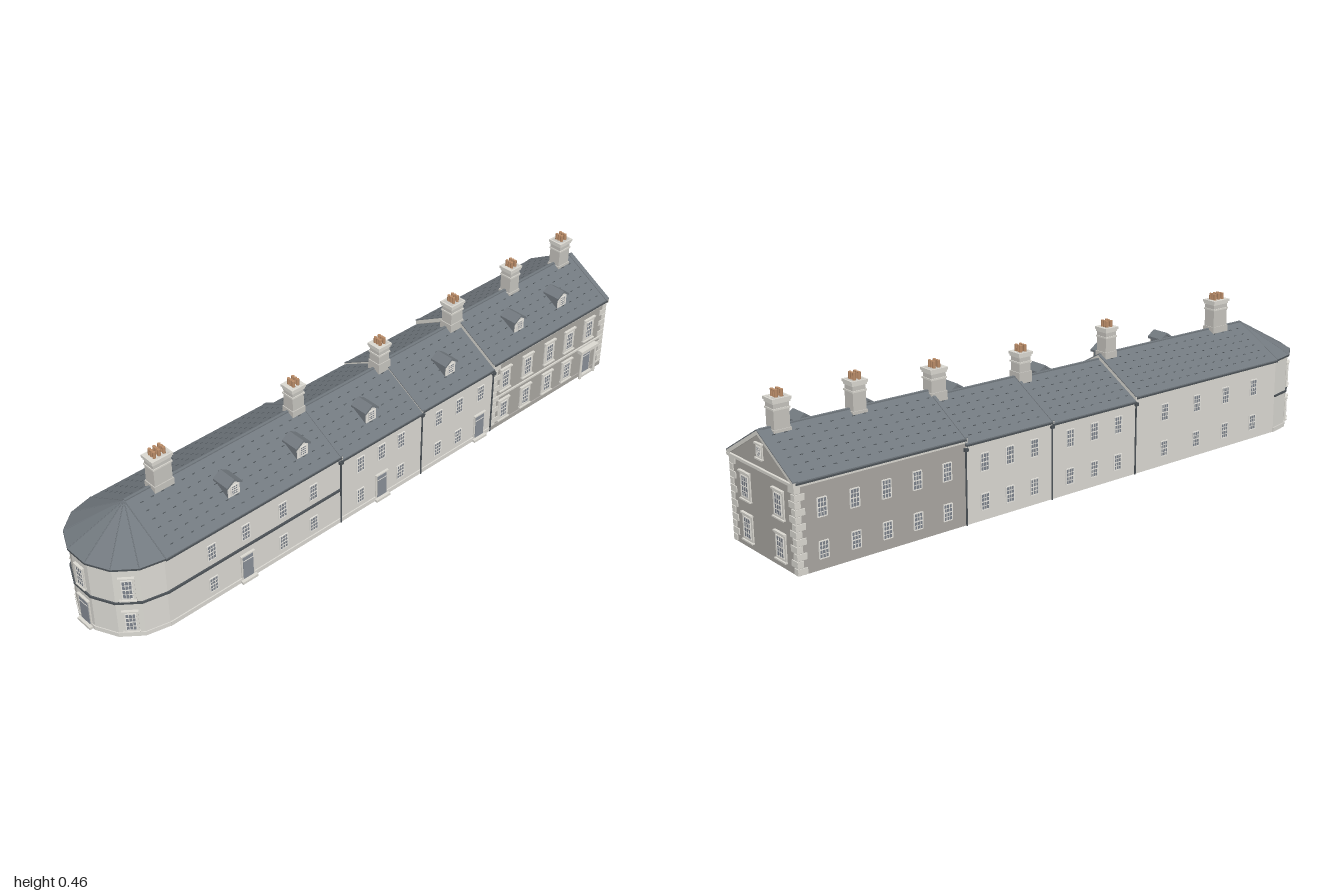
import * as THREE from 'three';
import { mergeGeometries } from 'three/addons/utils/BufferGeometryUtils.js';

const mat = (name, color, side = THREE.FrontSide) => {
  const m = new THREE.MeshStandardMaterial({ color, side });
  m.name = name;
  return m;
};
const M = {
  wall: mat('pale stone wall', 0xdad8d2, THREE.DoubleSide),
  wallDark: mat('grey stone wall', 0xa9a6a1, THREE.DoubleSide),
  trim: mat('light stone trim', 0xdad8d1),
  stack: mat('chimney stone', 0xc6c4be),
  slate: mat('roof slate', 0x72797f),
  dark: mat('dark slate', 0x4d5358),
  paint: mat('white paint', 0xe8e6e0),
  glass: mat('window glass', 0x7d838c),
  door: mat('door paint', 0x888e97),
  pot: mat('terracotta', 0xba8c68),
};
const HW = 0.163, EAVE = 0.171, BOW = 0.825, BACK = -0.988, FACETS = 7;

const group = (name, parent) => {
  const g = new THREE.Group();
  g.name = name;
  parent.add(g);
  return g;
};
const mesh = (name, parent, geo, material) => {
  const m = new THREE.Mesh(geo, material);
  m.name = name;
  parent.add(m);
  return m;
};
const box = (name, parent, material, w, h, d, x, y, z) => {
  const m = mesh(name, parent, new THREE.BoxGeometry(w, h, d), material);
  m.position.set(x, y, z);
  return m;
};
// Plate standing off a wall plane by d
const plate = (name, f, material, w, h, d, x, y) => box(name, f, material, w, h, d - 0.0003, x, y, d / 2 + 0.00015);
// Frame on a wall whose +z points outwards
const onWall = (name, parent, angle, x, z) => {
  const g = group(name, parent);
  g.position.set(x, 0, z);
  g.rotation.y = angle;
  return g;
};
const polygon = (pts) => new THREE.Shape(pts.map(([x, y]) => new THREE.Vector2(x, y)));
// Inverted V slab running along z
const vee = (name, parent, material, half, eave, ridge, t, z0, z1) => {
  const s = polygon([[-half, eave], [-half, eave - t], [0, ridge - t], [half, eave - t], [half, eave], [0, ridge]]);
  const geo = new THREE.ExtrudeGeometry(s, { depth: z1 - z0, bevelEnabled: false });
  return mesh(name, parent, geo.translate(0, 0, z0), material);
};
const arc = (r) => Array.from({ length: FACETS + 1 }, (_, i) => {
  const a = -Math.PI / 2 + (i * Math.PI) / FACETS;
  return [r * Math.sin(a), r * Math.cos(a)];
});
// Faceted half ring round the bow
const bowRing = (name, parent, material, out, top, h) => {
  const s = polygon([...arc(HW + out), ...arc(HW + 0.0003).reverse()]);
  const geo = new THREE.ExtrudeGeometry(s, { depth: h, bevelEnabled: false }).rotateX(Math.PI / 2);
  mesh(name, parent, geo, material).position.set(0, top, BOW);
};

// Sash window with glazing bars; surround is the width of its stone border
function sash(f, w, y0, y1, surround = 0) {
  const h = y1 - y0, cy = (y0 + y1) / 2;
  if (surround) {
    plate('surround', f, M.trim, w + 2 * surround, h + 2 * surround, 0.004, 0, cy);
    plate('hood', f, M.trim, w + 2 * surround + 0.004, 0.005, 0.009, 0, y1 + surround + 0.002);
    plate('sill', f, M.trim, w + 2 * surround + 0.004, 0.004, 0.009, 0, y0 - surround);
  }
  const z = surround ? 0.004 : 0.001;
  plate('glass', f, M.glass, w, h, z + 0.001, 0, cy);
  for (const i of [-1, 1]) {
    plate('frameSide', f, M.paint, 0.003, h, z + 0.0025, i * w / 2, cy);
    plate('glazingBar', f, M.paint, 0.0016, h, z + 0.002, i * w / 6, cy);
  }
  for (let i = 0; i <= 4; i++)
    plate('glazingBar', f, M.paint, w, i % 2 ? 0.0016 : 0.003, z + 0.002, 0, y0 + h * i / 4);
}
function doorway(f, w, top, steps) {
  plate('doorSurround', f, M.trim, w + 0.01, top, 0.004, 0, top / 2 + 0.003);
  plate('doorHood', f, M.trim, w + 0.014, 0.004, 0.008, 0, top + 0.005);
  plate('doorLeaf', f, M.door, w, top - 0.012, 0.006, 0, (top + 0.01) / 2);
  plate('transom', f, M.paint, w, 0.002, 0.007, 0, top - 0.014);
  plate('doorStep', f, M.trim, w + 0.02, 0.008, steps, 0, 0.004);
}
function dormer(f, y) {
  const face = (y0) => polygon([[-0.02, y0], [0.02, y0], [0.02, y + 0.037], [0, y + 0.05], [-0.02, y + 0.037]]);
  const extrude = (s, depth) => new THREE.ExtrudeGeometry(s, { depth, bevelEnabled: false });
  mesh('dormerCheeks', f, extrude(face(y - 0.02), 0.052).translate(0, 0, -0.052), M.slate);
  vee('dormerRoof', f, M.slate, 0.027, y + 0.04, y + 0.058, 0.007, -0.054, 0.007);
  mesh('dormerFront', f, extrude(face(y), 0.003), M.paint);
  const window = group('dormerWindow', f);
  window.position.z = 0.003;
  sash(window, 0.022, y + 0.006, y + 0.036);
}
function chimney(parent, z, top, len, rows) {
  const g = group('chimney', parent);
  g.position.z = z;
  const cap = top - 0.02, W = 0.04;
  box('stack', g, M.stack, W, cap - 0.3, len, 0, (cap + 0.3) / 2, 0);
  box('stackFoot', g, M.stack, W + 0.006, 0.05, len + 0.006, 0, 0.328, 0);
  box('stackBand', g, M.trim, W + 0.005, 0.005, len + 0.005, 0, cap - 0.03, 0);
  box('capLower', g, M.trim, W + 0.005, 0.007, len + 0.005, 0, cap - 0.011, 0);
  box('capUpper', g, M.trim, W + 0.01, 0.008, len + 0.01, 0, cap - 0.004, 0);
  for (let i = 0; i < rows; i++) for (const x of [-0.01, 0, 0.01]) {
    const p = mesh('chimneyPot', g, new THREE.CylinderGeometry(0.0048, 0.0052, 0.02, 8), M.pot);
    p.position.set(x, cap + 0.01, (i - (rows - 1) / 2) * 0.016);
  }
}

// Houses from front to back: extent, roof, openings along the right and left walls
const HOUSES = [
  { z0: 0.196, z1: BOW, eave: 0.25, ridge: 0.345, right: [0.671, 0.551, 0.416, 0.301], door: 0.551, left: [0.72, 0.59, 0.46, 0.32], dormers: [0.551, 0.301] },
  { z0: -0.135, z1: 0.196, eave: 0.237, ridge: 0.332, right: [0.116, 0.031, -0.049], door: 0.031, left: [0.125, 0.03, -0.065], dormers: [0.035] },
  { z0: -0.447, z1: -0.135, eave: 0.243, ridge: 0.339, right: [-0.209, -0.299, -0.394], door: -0.394, left: [-0.2, -0.29, -0.38], dormers: [-0.297] },
  { z0: BACK, z1: -0.447, eave: 0.26, ridge: 0.358, right: [-0.505, -0.609, -0.714, -0.811, -0.909], door: -0.909, left: [-0.51, -0.61, -0.71, -0.81, -0.91], dormers: [-0.606, -0.81], grand: true },
];

function gable(name, parent, material, h, z, angle = 0) {
  const s = polygon([[-HW, 0], [HW, 0], [HW, h.eave - 0.003], [0, h.ridge - 0.003], [-HW, h.eave - 0.003]]);
  const m = mesh(name, parent, new THREE.ShapeGeometry(s), material);
  m.position.z = z;
  m.rotation.y = angle;
}

function house(parent, h) {
  const g = group('house', parent), len = h.z1 - h.z0, mid = (h.z0 + h.z1) / 2;
  const wallMat = h.grand ? M.wallDark : M.wall;
  for (const s of [-1, 1]) {
    const f = onWall(s > 0 ? 'rightWall' : 'leftWall', g, s * Math.PI / 2, s * HW, mid);
    mesh('wall', f, new THREE.PlaneGeometry(len, h.eave), wallMat).position.y = h.eave / 2;
    plate('gutter', f, M.dark, len, 0.005, 0.01, 0, h.eave - 0.006);
    plate('eavesCourse', f, M.trim, len, 0.008, 0.004, 0, h.eave - 0.0125);
    if (s > 0) {
      plate('plinth', f, wallMat, len, 0.014, 0.004, 0, 0.007);
      if (h.z1 === BOW) plate('stringCourse', f, M.dark, len, 0.006, 0.006, 0, 0.124);
      if (h.grand) plate('stringCourse', f, M.trim, len, 0.006, 0.005, 0, 0.118);
    }
    // Windows and doors
    for (const z of s > 0 ? h.right : h.left) {
      const bay = onWall('bay', g, s * Math.PI / 2, s * HW, z), big = h.grand && s > 0;
      const isDoor = s > 0 && z === h.door;
      sash(bay, 0.028, 0.148, big ? 0.207 : 0.2, big ? 0.01 : 0);
      if (isDoor) doorway(bay, 0.036, 0.09, 0.014);
      else sash(bay, 0.028, 0.032, big ? 0.087 : 0.08, big ? 0.01 : 0);
      if (isDoor && h.grand) {
        plate('porchEntablature', bay, M.trim, 0.084, 0.012, 0.02, 0, 0.105);
        for (const x of [-0.034, 0.034])
          mesh('porchColumn', bay, new THREE.CylinderGeometry(0.004, 0.005, 0.1, 10), M.trim).position.set(x, 0.05, 0.014);
      }
    }
  }
  for (const z of h.dormers) dormer(onWall('dormer', g, Math.PI / 2, 0.12, z), h.eave + 0.031);
  // Roof, ridge and rows of slate edges
  vee('roof', g, M.slate, EAVE, h.eave, h.ridge, 0.008, h.z0, h.z1);
  box('ridgeTiles', g, M.slate, 0.008, 0.004, len, 0, h.ridge, mid);
  const dashes = [], rise = h.ridge - h.eave, slope = Math.atan2(rise, EAVE);
  for (const s of [-1, 1]) for (let r = 1; r <= 6; r++) for (let z = h.z0 + 0.03; z < h.z1 - 0.02; z += 0.035)
    dashes.push(new THREE.BoxGeometry(0.0025, 0.0015, 0.01).rotateZ(-s * slope)
      .translate(s * EAVE * r / 7, h.ridge - rise * r / 7, z));
  mesh('slateEdges', g, mergeGeometries(dashes), M.dark);
}

function bow(parent) {
  const g = group('bowEnd', parent), h = HOUSES[0], step = Math.PI / FACETS;
  const wall = new THREE.CylinderGeometry(HW, HW, h.eave, FACETS, 1, true, -Math.PI / 2, Math.PI).toNonIndexed();
  wall.computeVertexNormals();
  mesh('bowWall', g, wall, M.wall).position.set(0, h.eave / 2, BOW);
  bowRing('plinth', g, M.wall, 0.003, 0.014, 0.014);
  bowRing('stringCourse', g, M.dark, 0.005, 0.127, 0.006);
  bowRing('eavesCourse', g, M.trim, 0.004, 0.2445, 0.009);
  bowRing('gutter', g, M.dark, EAVE - HW + 0.001, h.eave, 0.0055);
  // Fan roof with slate hips
  const rise = h.ridge - h.eave;
  const fan = new THREE.ConeGeometry(EAVE, rise, FACETS, 1, true, -Math.PI / 2, Math.PI).toNonIndexed();
  fan.computeVertexNormals();
  mesh('fanRoof', g, fan, M.slate).position.set(0, h.eave + rise / 2, BOW);
  for (const [x, z] of arc(EAVE)) {
    const path = new THREE.LineCurve3(new THREE.Vector3(x, h.eave, BOW + z), new THREE.Vector3(0, h.ridge, BOW));
    mesh('hip', g, new THREE.TubeGeometry(path, 1, 0.0015, 5), M.slate);
  }
  // Openings on alternate facets
  const apothem = HW * Math.cos(step / 2);
  for (const k of [-2, 0, 2]) {
    const a = k * step;
    const f = onWall('bowBay', g, a, apothem * Math.sin(a), BOW + apothem * Math.cos(a));
    sash(f, 0.028, 0.142, 0.205, k ? 0.007 : 0.004);
    if (k) sash(f, 0.028, 0.026, 0.085, 0.007);
    else doorway(f, 0.038, 0.092, 0.014);
  }
}

function backGable(parent) {
  const g = group('backGable', parent), h = HOUSES[3];
  gable('gableWall', g, M.wallDark, h, BACK, Math.PI);
  vee('rakingCornice', g, M.trim, EAVE, h.eave - 0.001, h.ridge - 0.001, 0.012, BACK - 0.007, BACK - 0.0003);
  vee('verge', g, M.slate, EAVE, h.eave + 0.002, h.ridge + 0.002, 0.003, BACK - 0.008, BACK + 0.008);
  box('pedimentCornice', g, M.trim, 2 * EAVE, 0.008, 0.007, 0, h.eave - 0.01, BACK - 0.004);
  for (const x of [-0.085, 0.085]) {
    const f = onWall('gableBay', g, Math.PI, x, BACK);
    sash(f, 0.034, 0.148, 0.207, 0.009);
    sash(f, 0.034, 0.03, 0.088, 0.009);
  }
  sash(onWall('atticWindow', g, Math.PI, 0, BACK), 0.02, 0.285, 0.312, 0.006);
  // Alternating corner stones
  for (let i = 0; i < 12; i++) {
    const long = i % 2 ? 0.03 : 0.018, y = 0.011 + i * 0.0204;
    for (const s of [-1, 1]) {
      box('quoin', g, M.trim, long, 0.018, 0.003, s * (HW + 0.003 - long / 2), y, BACK - 0.0018);
      box('quoin', g, M.trim, 0.003, 0.018, 0.048 - long, s * (HW + 0.0018), y, BACK - 0.003 + (0.048 - long) / 2);
    }
    box('quoin', g, M.trim, 0.003, 0.018, long, HW + 0.0018, y, h.z1 - 0.004 - long / 2);
  }
}

export function createModel() {
  const root = new THREE.Group();
  root.name = 'terrace';
  const row = group('houses', root);
  row.position.x = 0.0077;
  row.rotation.y = 0.0888;
  HOUSES.forEach((h) => house(row, h));
  bow(row);
  backGable(row);
  // Party walls, verges and drainpipes between the houses
  [[0, 1], [2, 1], [3, 2]].forEach(([tall, low]) => {
    const h = HOUSES[tall], z = Math.max(h.z0, HOUSES[low].z0), side = tall ? 1 : -1;
    gable('partyWall', row, tall === 3 ? M.wallDark : M.wall, h, z);
    const ends = [z, z + side * 0.004].sort((a, b) => a - b);
    vee('vergeBoard', row, M.trim, EAVE, h.eave - 0.001, h.ridge - 0.001, 0.014, ...ends);
    vee('vergeSlates', row, M.slate, EAVE, h.eave + 0.002, h.ridge + 0.002, 0.003, z - 0.005, z + 0.005);
    for (const s of [-1, 1]) {
      mesh('drainpipe', row, new THREE.CylinderGeometry(0.0025, 0.0025, 0.23, 8), M.dark).position.set(s * (HW + 0.004), 0.115, z);
      box('rainHopper', row, M.dark, 0.009, 0.01, 0.012, s * (HW + 0.005), 0.225, z);
    }
  });
  // Chimneys on the ridge
  [[0.707, 0.46, 0.06, 3], [0.225, 0.449, 0.042, 2], [-0.115, 0.432, 0.042, 2],
    [-0.427, 0.442, 0.05, 2], [-0.69, 0.458, 0.042, 2], [-0.93, 0.458, 0.048, 2]]
    .forEach(([z, top, len, rows]) => chimney(row, z, top, len, rows));
  return root;
}
